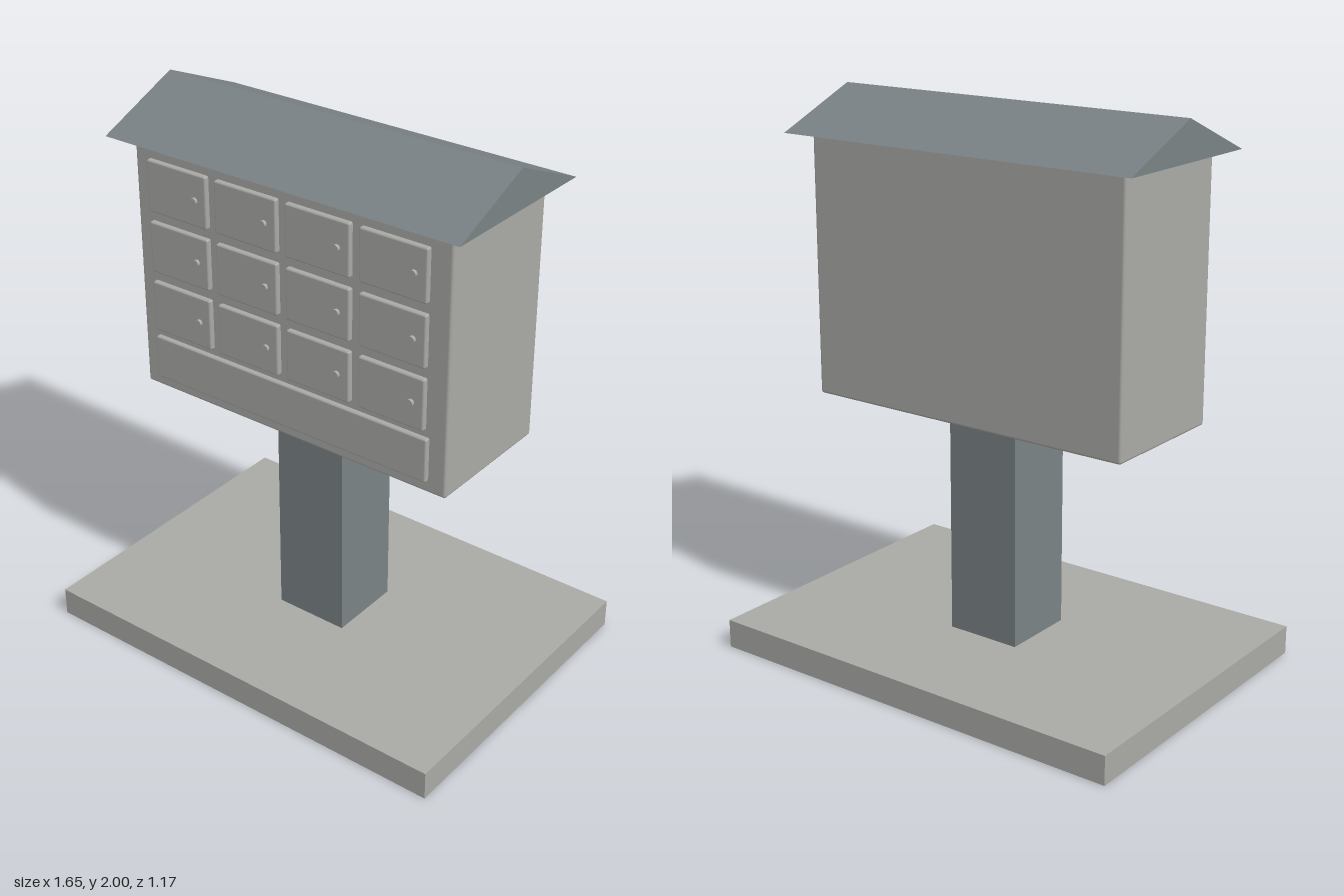
import * as THREE from 'three';
import { RoundedBoxGeometry } from 'three/addons/geometries/RoundedBoxGeometry.js';

export function createModel() {
  const model = new THREE.Group();
  model.name = 'clusterMailbox';

  const paleGrey = new THREE.MeshStandardMaterial({ name: 'paleGrey', color: 0xa9a9a6 });
  const slateGrey = new THREE.MeshStandardMaterial({ name: 'slateGrey', color: 0x7a8285 });

  const add = (parent, name, geometry, material, x, y, z) => {
    const mesh = new THREE.Mesh(geometry, material);
    mesh.name = name;
    mesh.position.set(x, y, z);
    parent.add(mesh);
    return mesh;
  };

  // Ground slab and square post
  add(model, 'baseSlab', new THREE.BoxGeometry(1.646, 0.105, 1.174), paleGrey, 0, 0.0525, 0);
  add(model, 'post', new THREE.BoxGeometry(0.282, 0.83, 0.282), slateGrey, 0, 0.52, 0);

  // Cabinet with slightly softened edges
  add(model, 'cabinet', new RoundedBoxGeometry(1.284, 0.936, 0.512, 2, 0.01), paleGrey, 0, 1.393, 0);

  // Gable roof: a triangular prism running along x
  const gable = new THREE.Shape([
    new THREE.Vector2(-0.327, 0),
    new THREE.Vector2(0.327, 0),
    new THREE.Vector2(0, 0.139),
  ]);
  const roofGeometry = new THREE.ExtrudeGeometry(gable, { depth: 1.414, bevelEnabled: false });
  roofGeometry.translate(0, 0, -0.707).rotateY(Math.PI / 2);
  add(model, 'roof', roofGeometry, slateGrey, 0, 1.861, 0);

  // Grid of small locker doors, each with a round lock
  const doorGeometry = new RoundedBoxGeometry(0.258, 0.188, 0.03, 2, 0.007);
  const lockGeometry = new THREE.CylinderGeometry(0.0125, 0.0125, 0.02, 16).rotateX(Math.PI / 2);
  for (let row = 0; row < 3; row++) {
    for (let column = 0; column < 4; column++) {
      const locker = new THREE.Group();
      locker.name = `locker${row + 1}_${column + 1}`;
      locker.position.set(-0.45 + column * 0.294, 1.7 - row * 0.225, 0);
      add(locker, 'lockerDoor', doorGeometry, paleGrey, 0, 0, 0.259);
      add(locker, 'doorLock', lockGeometry, paleGrey, 0.081, 0, 0.275);
      model.add(locker);
    }
  }

  // Wide door along the bottom
  add(model, 'wideDoor', new RoundedBoxGeometry(1.154, 0.162, 0.03, 2, 0.007), paleGrey, -0.002, 1.05, 0.259);

  return model;
}
